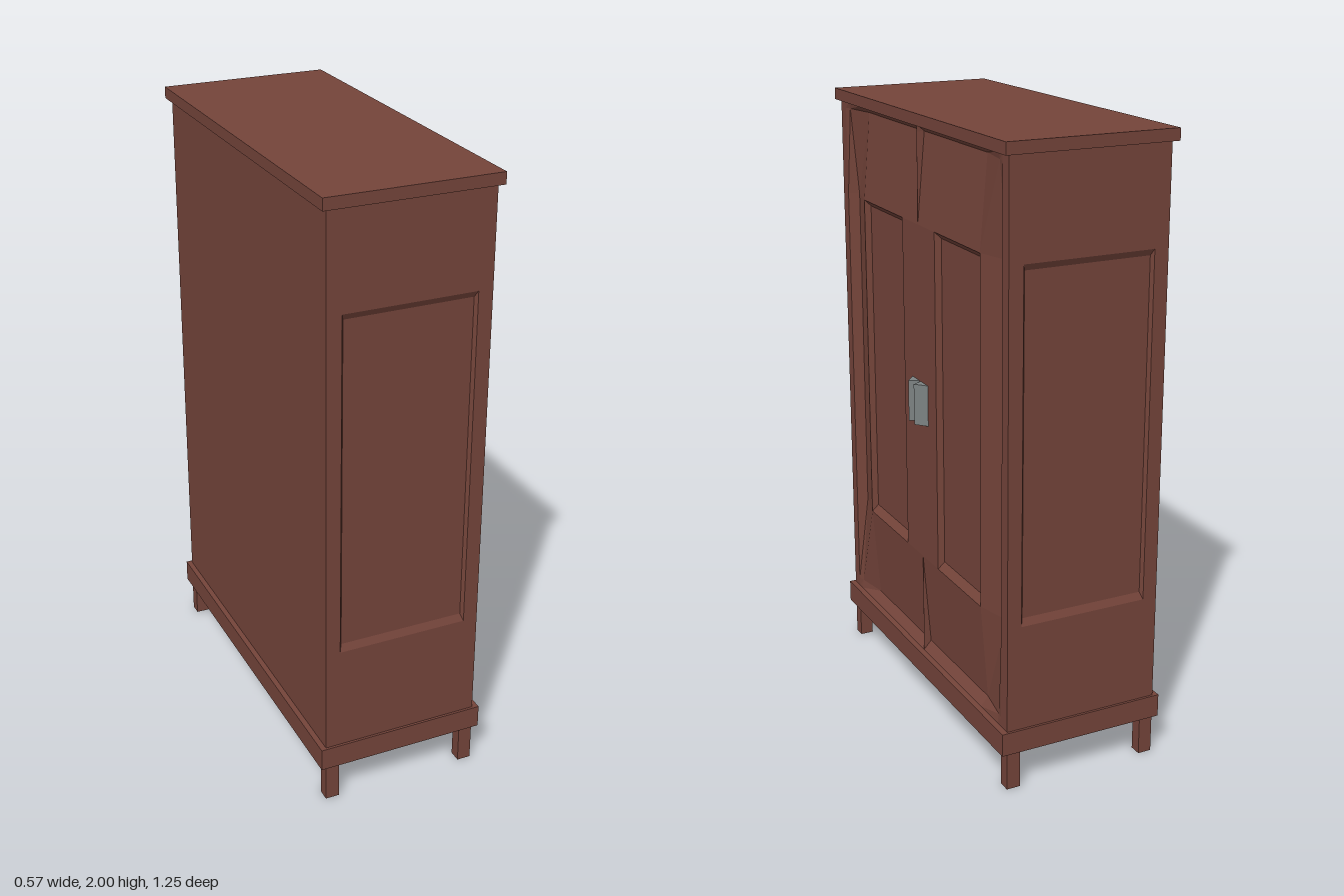
import * as THREE from 'three';

const wood = new THREE.MeshStandardMaterial({ color: 0x74443a, flatShading: true });
const metal = new THREE.MeshStandardMaterial({ color: 0x7c8282, flatShading: true });

// Builds a mesh from quads whose corners run anticlockwise seen from outside
function quadMesh(name, quads) {
  const pos = [];
  for (const [a, b, c, d] of quads) pos.push(...a, ...b, ...c, ...a, ...c, ...d);
  const geo = new THREE.BufferGeometry();
  geo.setAttribute('position', new THREE.Float32BufferAttribute(pos, 3));
  geo.computeVertexNormals();
  const mesh = new THREE.Mesh(geo, wood);
  mesh.name = name;
  return mesh;
}

const rect = (u0, u1, v0, v1, d) => [[u0, v0, d], [u1, v0, d], [u1, v1, d], [u0, v1, d]];

// Joins nested rectangles and closes the innermost one
function nestedRects(loops) {
  const quads = [];
  for (let i = 0; i < loops.length - 1; i++) {
    const o = loops[i], n = loops[i + 1];
    for (let k = 0; k < 4; k++) {
      const m = (k + 1) % 4;
      quads.push([o[k], o[m], n[m], n[k]]);
    }
  }
  quads.push(loops[loops.length - 1]);
  return quads;
}

function box(name, x0, x1, y0, y1, z0, z1) {
  const mesh = new THREE.Mesh(new THREE.BoxGeometry(x1 - x0, y1 - y0, z1 - z0), wood);
  mesh.position.set((x0 + x1) / 2, (y0 + y1) / 2, (z0 + z1) / 2);
  mesh.name = name;
  return mesh;
}

export function createModel() {
  const group = new THREE.Group();
  group.name = 'wardrobe';
  const front = 0.253, back = -0.267, bottom = 0.2, top = 1.963;

  // Top board, plinth and back
  group.add(box('topBoard', -0.285, 0.27, top, 2, -0.623, 0.623));
  group.add(box('plinth', -0.285, 0.273, 0.125, bottom, -0.618, 0.618));
  group.add(box('backBoard', back, back + 0.02, bottom, top, -0.608, 0.608));

  // Legs
  for (const x of [back, front - 0.045])
    for (const z of [-0.61, 0.57])
      group.add(box('leg', x, x + 0.045, 0, 0.125, z, z + 0.04));

  // Side walls with a shallow sunken panel
  for (const s of [1, -1]) {
    const wall = quadMesh(s > 0 ? 'leftSide' : 'rightSide', nestedRects([
      rect(-0.26, 0.26, bottom, top, 0.61),
      rect(-0.213, 0.213, 0.545, 1.655, 0.61),
      rect(-0.205, 0.205, 0.568, 1.635, 0.599),
    ]));
    wall.position.x = (front + back) / 2;
    if (s < 0) wall.rotation.y = Math.PI;
    group.add(wall);
  }

  // Door front: level with the frame round the panels, sloping back to its
  // outer edges, with a thin upright rib left standing at the seam
  const half = [0.002, 0.12, 0.43, 0.545, 0.57, 0.61];
  const us = [...half.map(u => -u).reverse(), 0, ...half];
  const vs = [bottom, 0.23, 0.545, 1.655, 1.94, top];
  const depth = (u, v) => {
    const a = Math.abs(u);
    if (a === 0 || a >= 0.57 || v === bottom || v === top) return front;
    const edgeRow = v === 0.23 || v === 1.94;
    if (a === 0.545) return edgeRow ? front - 0.005 : front - 0.03;
    return edgeRow ? front - 0.025 : front;
  };
  const point = (u, v) => [u, v, depth(u, v)];
  const quads = [];
  for (let i = 0; i < us.length - 1; i++) {
    for (let j = 0; j < vs.length - 1; j++) {
      const mid = Math.abs(us[i] + us[i + 1]) / 2;
      if (j === 2 && mid > 0.12 && mid < 0.43) continue; // panel opening
      quads.push([point(us[i], vs[j]), point(us[i + 1], vs[j]),
        point(us[i + 1], vs[j + 1]), point(us[i], vs[j + 1])]);
    }
  }
  // Sunken door panels
  for (const u of [-0.43, 0.12])
    quads.push(...nestedRects([
      rect(u, u + 0.31, 0.545, 1.655, front),
      rect(u + 0.008, u + 0.302, 0.57, 1.635, front - 0.02),
    ]));
  const doors = quadMesh('doors', quads);
  doors.rotation.y = Math.PI / 2;
  group.add(doors);

  // Wedge-shaped handles beside the seam
  for (const s of [1, -1]) {
    const outline = [[front - 0.005, 0.058], [front, 0.058], [0.285, 0.021], [front, 0.004], [front - 0.005, 0.004]];
    const shape = new THREE.Shape(outline.map(([x, z]) => new THREE.Vector2(x, -z * s)));
    const geo = new THREE.ExtrudeGeometry(shape, { depth: 0.135, bevelEnabled: false });
    geo.rotateX(-Math.PI / 2);
    geo.translate(0, 1.015, 0);
    const handle = new THREE.Mesh(geo, metal);
    handle.name = s > 0 ? 'leftHandle' : 'rightHandle';
    group.add(handle);
  }
  return group;
}
